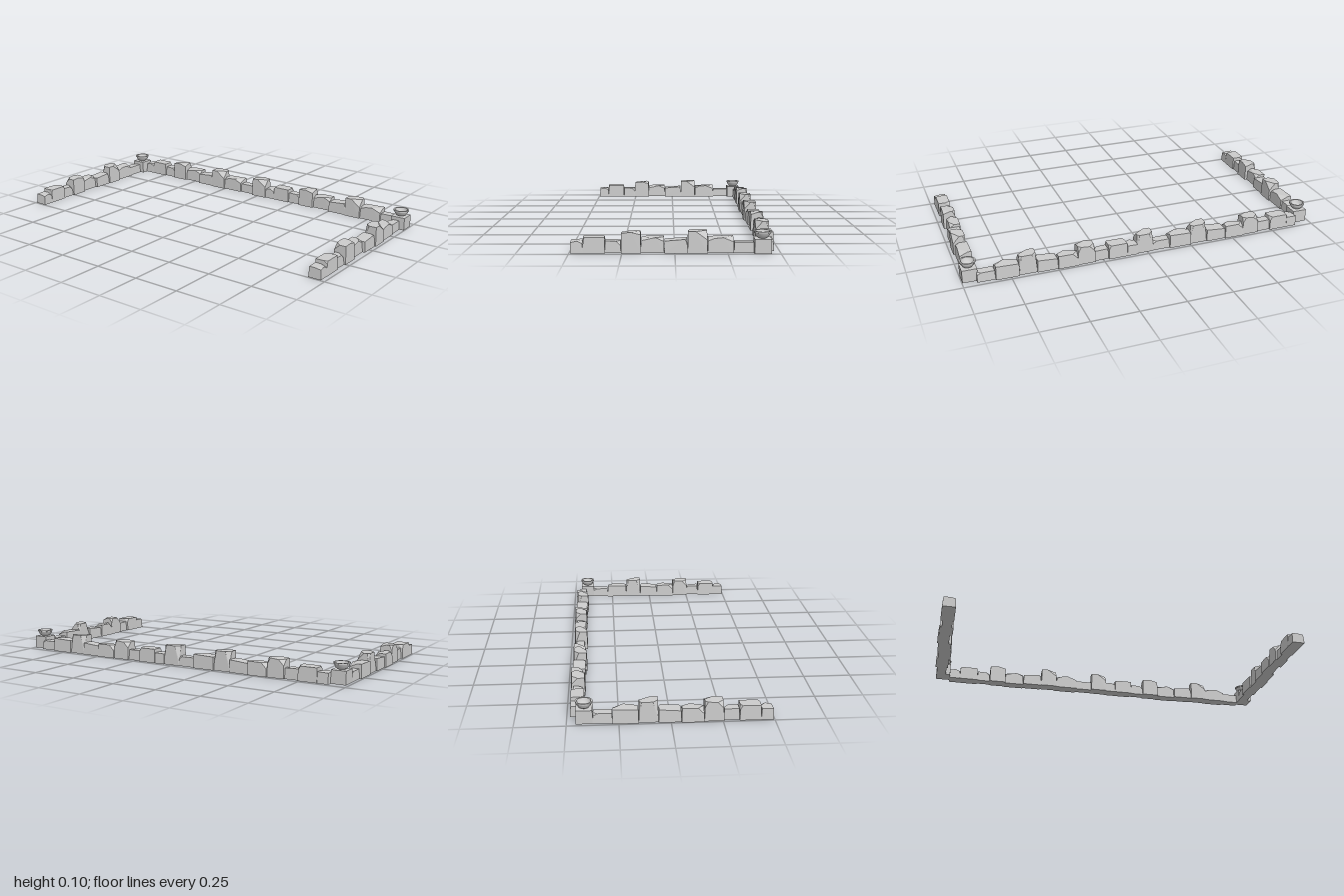
import * as THREE from 'three';
import { ConvexGeometry } from 'three/addons/geometries/ConvexGeometry.js';

const grey = new THREE.MeshStandardMaterial({ color: 0xcccccc, flatShading: true });
const smoothGrey = new THREE.MeshStandardMaterial({ color: 0xcccccc });

// Rough stones of one wall run, along x. hl / hr: height at left / right end.
// cuts: chipped top corners [side x, side z, size along x, y, z]
const STONES = [
  { x: [-0.495, -0.435], z: [-0.036, 0.034], hl: 0.056, hr: 0.058, cuts: [[1, 1, 0.025, 0.012, 0.03], [-1, 1, 0.02, 0.005, 0.03]] },
  { x: [-0.435, -0.33], z: [-0.037, 0.034], hl: 0.076, hr: 0.076, cuts: [[1, -1, 0.012, 0.02, 0.025], [-1, 1, 0.008, 0.012, 0.02]] },
  { x: [-0.33, -0.255], z: [-0.027, 0.027], hl: 0.058, hr: 0.056, cuts: [[1, 1, 0.02, 0.02, 0.025]] },
  { x: [-0.255, -0.16], z: [-0.036, 0.036], hl: 0.096, hr: 0.1, cuts: [[1, 1, 0.045, 0.012, 0.035], [-1, -1, 0.03, 0.03, 0.03], [1, -1, 0.015, 0.03, 0.015]] },
  { x: [-0.16, -0.05], z: [-0.042, 0.022], hl: 0.072, hr: 0.072, cuts: [[-1, 1, 0.065, 0.014, 0.025], [1, 1, 0.04, 0.018, 0.025], [-1, -1, 0.03, 0.03, 0.03]] },
  { x: [-0.05, 0.06], z: [-0.036, 0.036], hl: 0.058, hr: 0.066, cuts: [[1, 1, 0.01, 0.02, 0.02]] },
  { x: [0.06, 0.155], z: [-0.03, 0.042], hl: 0.105, hr: 0.105, cuts: [[1, 1, 0.055, 0.04, 0.035], [-1, -1, 0.025, 0.07, 0.025], [1, -1, 0.012, 0.06, 0.012]] },
  { x: [0.155, 0.28], z: [-0.037, 0.034], hl: 0.07, hr: 0.074, cuts: [[1, 1, 0.05, 0.02, 0.045], [-1, 1, 0.03, 0.012, 0.02]] },
  { x: [0.28, 0.375], z: [-0.027, 0.027], hl: 0.051, hr: 0.051, cuts: [[1, -1, 0.02, 0.012, 0.015]] },
];

// Convex block with chipped top corners and a slight inward lean at the top
function stoneGeometry({ x, z, hl, hr, cuts }) {
  const pts = [];
  for (const sx of [-1, 1]) for (const sz of [-1, 1]) {
    const px = sx < 0 ? x[0] : x[1];
    const pz = sz < 0 ? z[0] : z[1];
    const h = sx < 0 ? hl : hr;
    const tx = px - sx * 0.002, tz = pz - sz * 0.003;
    pts.push(new THREE.Vector3(px, 0, pz));
    const cut = cuts.find(c => c[0] === sx && c[1] === sz);
    if (!cut) { pts.push(new THREE.Vector3(tx, h, tz)); continue; }
    const [, , cx, cy, cz] = cut;
    pts.push(
      new THREE.Vector3(tx - sx * cx, h, tz),
      new THREE.Vector3(tx, h - cy, tz),
      new THREE.Vector3(tx, h, tz - sz * cz));
  }
  return new ConvexGeometry(pts);
}

const geometries = STONES.map(stoneGeometry);

function wallRun(name) {
  const run = new THREE.Group();
  run.name = name;
  geometries.forEach((g, i) => {
    const stone = new THREE.Mesh(g, grey);
    stone.name = 'wallStone' + (i + 1);
    run.add(stone);
  });
  return run;
}

// Square corner block carrying a shallow round bowl
function cornerPost(name) {
  const post = new THREE.Group();
  post.name = name;
  const block = new THREE.Mesh(new THREE.BoxGeometry(0.08, 0.07, 0.08), grey);
  block.name = 'cornerBlock';
  block.position.y = 0.035;
  post.add(block);

  // Outer wall, rim band, flat lip, hollow; doubled points keep the rim crisp
  const profile = [
    [0, 0.07], [0.017, 0.07], [0.017, 0.07], [0.026, 0.075], [0.034, 0.084], [0.039, 0.097],
    [0.039, 0.097], [0.042, 0.098], [0.042, 0.098], [0.042, 0.105], [0.042, 0.105],
    [0.034, 0.105], [0.034, 0.105], [0.03, 0.092], [0.022, 0.083], [0.011, 0.078], [0, 0.077],
  ].map(p => new THREE.Vector2(...p));
  const bowl = new THREE.Mesh(new THREE.LatheGeometry(profile, 32), smoothGrey);
  bowl.name = 'bowl';
  post.add(bowl);
  return post;
}

export function createModel() {
  const model = new THREE.Group();
  model.name = 'stoneEnclosure';

  // Short front and back walls
  const front = wallRun('frontWall');
  front.position.z = 0.943;
  const back = wallRun('backWall');
  back.position.z = -0.957;
  model.add(front, back);

  // Long side wall: two runs turned along z with one tall stone between them
  const side = new THREE.Group();
  side.name = 'sideWall';
  side.rotation.y = -Math.PI / 2;
  side.position.x = 0.448;
  const runA = wallRun('sideRunBack');
  runA.position.x = -0.41;
  const runB = wallRun('sideRunFront');
  runB.position.x = 0.55;
  const middle = new THREE.Mesh(geometries[6], grey);
  middle.name = 'middleStone';
  middle.position.x = -0.097;
  side.add(runA, middle, runB);
  model.add(side);

  // Corner posts with bowls
  for (const [name, z] of [['frontCorner', 0.957], ['backCorner', -0.945]]) {
    const post = cornerPost(name);
    post.position.set(0.415, 0, z);
    model.add(post);
  }
  return model;
}
